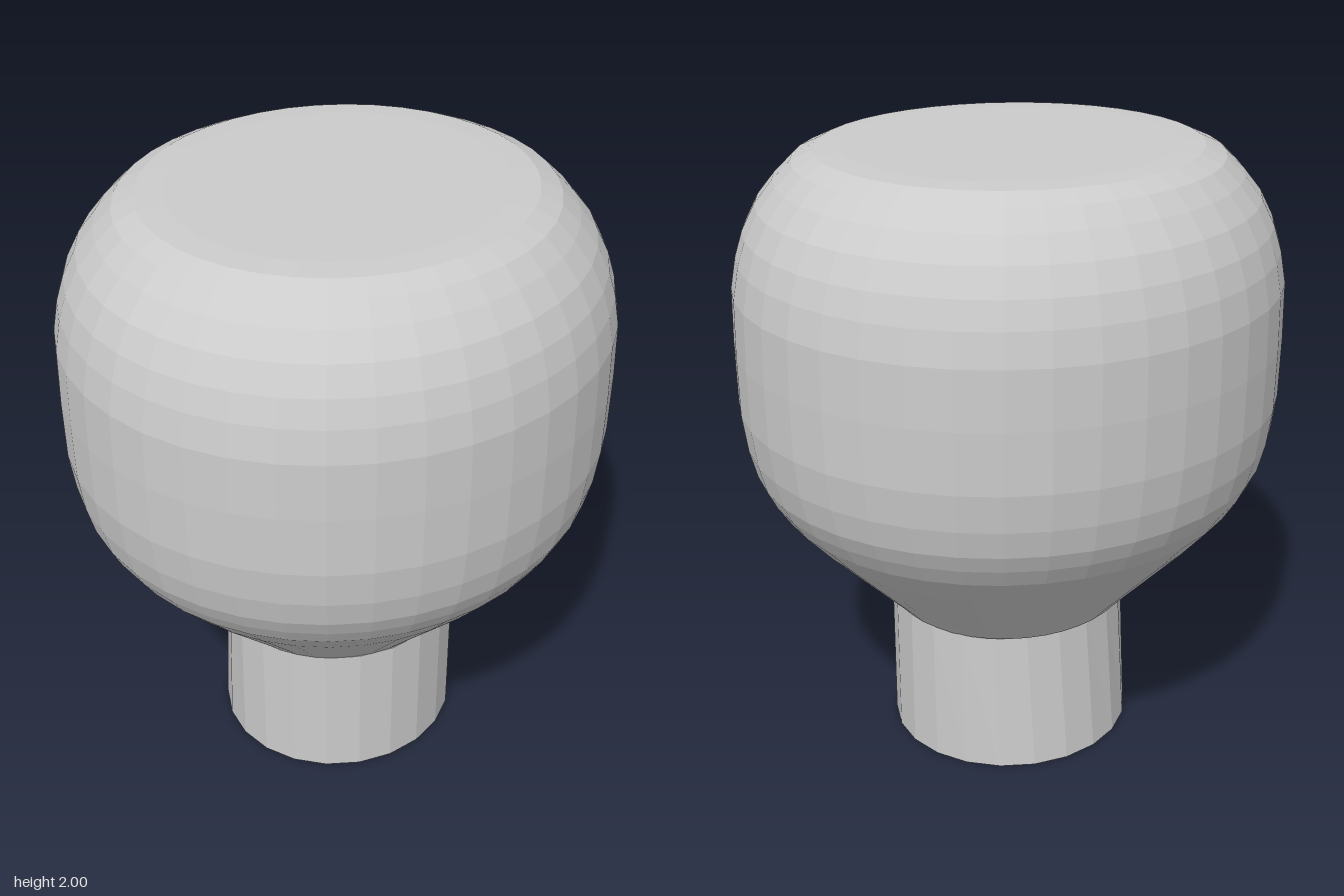
import * as THREE from 'three';

const grey = new THREE.MeshStandardMaterial({ color: 0xcccccc, flatShading: true });

// Rounded bulb: flat top, full sides, straight cone down to the neck
function makeBulb() {
  const profile = [
    [0, 0.48], [0.38, 0.48], [0.41, 0.515], [0.65, 0.775], [0.735, 0.875],
    [0.775, 0.94], [0.803, 1.0], [0.825, 1.09], [0.84, 1.21], [0.842, 1.4],
    [0.838, 1.58], [0.82, 1.68], [0.795, 1.76], [0.755, 1.84], [0.7, 1.91],
    [0.645, 1.965], [0.58, 1.995], [0.5, 2], [0, 2],
  ].map(([r, y]) => new THREE.Vector2(r, y));
  const geometry = new THREE.LatheGeometry(profile, 40);
  geometry.scale(1, 1, 1.053); // slightly deeper than wide
  const mesh = new THREE.Mesh(geometry, grey);
  mesh.name = 'bulb';
  return mesh;
}

// Faceted neck with an uneven polygonal socket open at the bottom
function makeNeck() {
  const height = 0.49;
  const outline = [];
  for (let i = 0; i < 22; i++) {
    const a = (i / 22) * Math.PI * 2;
    outline.push(new THREE.Vector2(0.392 * Math.cos(a), 0.408 * Math.sin(a)));
  }
  // Socket corners, measured across and along the diagonal
  const corners = [
    [-0.30, -0.12], [-0.22, -0.28], [0, -0.35], [0.25, -0.27],
    [0.34, -0.16], [0.34, 0.12], [0.12, 0.34], [-0.29, 0.22],
  ];
  const hole = corners.map(([r, d]) =>
    new THREE.Vector2((d - r) * Math.SQRT1_2, -(d + r) * Math.SQRT1_2));
  const shape = new THREE.Shape(outline);
  shape.holes.push(new THREE.Path(hole));
  const geometry = new THREE.ExtrudeGeometry(shape, { depth: height, bevelEnabled: false });
  geometry.rotateX(-Math.PI / 2);

  // The right flank leans inward toward the bulb
  const p = geometry.attributes.position;
  for (let i = 0; i < p.count; i++) {
    if (p.getX(i) < 0) p.setX(i, p.getX(i) * (1.01 - 0.12 * p.getY(i) / height));
  }
  geometry.computeVertexNormals();
  const mesh = new THREE.Mesh(geometry, grey);
  mesh.name = 'neck';
  return mesh;
}

export function createModel() {
  const group = new THREE.Group();
  group.name = 'knob';
  group.add(makeBulb(), makeNeck());
  return group;
}
